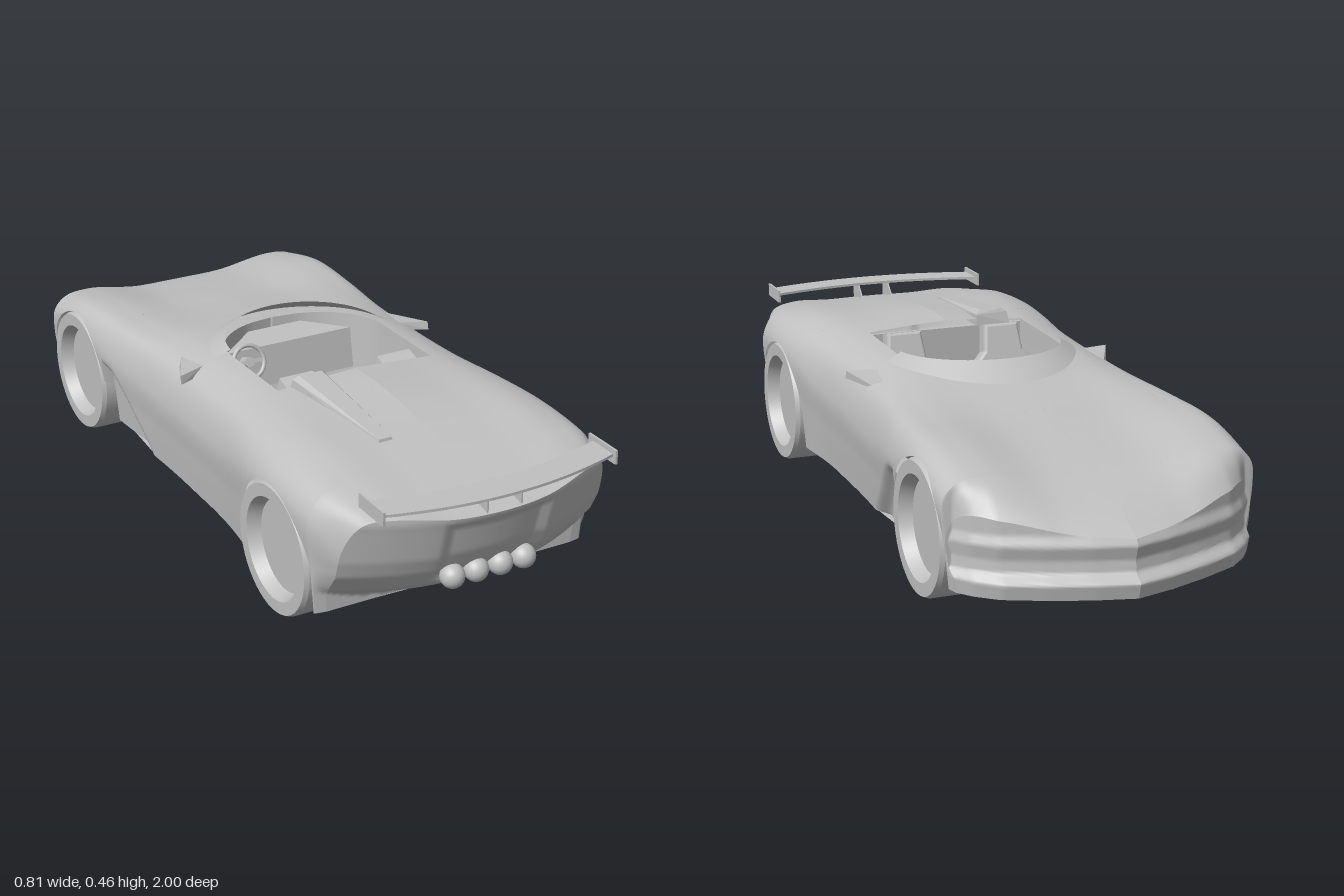
import * as THREE from 'three';
import { RoundedBoxGeometry } from 'three/addons/geometries/RoundedBoxGeometry.js';
import { ConvexGeometry } from 'three/addons/geometries/ConvexGeometry.js';

const SILL = 0.076, ARCH = 0.173, WHEEL_Y = 0.17, AXLES = [-0.6, 0.58], EPS = 2e-5;
const FRONT = -0.774, REAR = 0.754;   // where the bumpers begin
const COCKPIT_END = 0.28;

// z, half width, heights of: centre, inner deck, fender, shoulder, belt
const STATIONS = [
  [-1.00, 0.395, 0.215, 0.228, 0.258, 0.262, 0.21],
  [-0.89, 0.400, 0.268, 0.278, 0.308, 0.300, 0.25],
  [-0.774, 0.402, 0.315, 0.318, 0.340, 0.330, 0.29],
  [-0.60, 0.405, 0.350, 0.352, 0.374, 0.367, 0.325],
  [-0.40, 0.400, 0.378, 0.376, 0.384, 0.370, 0.30],
  [-0.20, 0.382, 0.408, 0.406, 0.398, 0.370, 0.28],
  [0.00, 0.375, 0.432, 0.430, 0.412, 0.372, 0.28],
  [0.25, 0.378, 0.442, 0.434, 0.418, 0.380, 0.29],
  [0.40, 0.393, 0.445, 0.433, 0.422, 0.388, 0.32],
  [0.58, 0.405, 0.428, 0.424, 0.422, 0.392, 0.34],
  [0.76, 0.398, 0.402, 0.402, 0.404, 0.385, 0.33],
  [0.98, 0.365, 0.362, 0.364, 0.376, 0.362, 0.28],
];
const spline = new THREE.CubicInterpolant(STATIONS.map(s => s[0]), STATIONS.flatMap(s => s.slice(1)), 6);
const profile = (at, values) => {
  const f = new THREE.LinearInterpolant(at, values, 1);
  return t => f.evaluate(t)[0];
};
const smooth = THREE.MathUtils.smoothstep;
const noseProfile = profile([0.076, 0.115, 0.135, 0.165, 0.2, 0.225], [-0.99, -1, -0.973, -0.97, -0.98, -0.967]);
const noseSweep = profile([0, 0.1, 0.2, 0.3, 0.35, 0.4], [0, 0.026, 0.062, 0.107, 0.15, 0.215]);
const tailProfile = profile([0.08, 0.1, 0.14, 0.2, 0.25, 0.34, 0.36], [0.765, 0.815, 0.875, 0.925, 0.948, 0.972, 0.978]);
const noseZ = (x, y) => Math.min(-0.78, noseProfile(y) + noseSweep(x));
// the tail has a shallow recessed centre panel
const tailZ = (x, y) => Math.max(0.76, tailProfile(y) - 0.105 * (x / 0.36) ** 2
  - 0.012 * (1 - smooth(x, 0.125, 0.145)) * smooth(y, 0.15, 0.17) * (1 - smooth(y, 0.33, 0.35)));

// bends the end sections into the swept nose and raked tail
function bend(x, y, z) {
  if (z < FRONT) return FRONT + (z - FRONT) / (-1 - FRONT) * (noseZ(x, y) - FRONT);
  if (z > REAR) return REAR + (z - REAR) / (0.98 - REAR) * (tailZ(x, y) - REAR);
  return z;
}
function sillHeight(z) {
  for (const c of AXLES) {
    const d = Math.abs(z - c);
    if (d < ARCH) return WHEEL_Y + Math.sqrt(ARCH * ARCH - d * d);
  }
  return SILL;
}
// half width of the cockpit opening
function opening(z) {
  if (z <= -0.18 || z > COCKPIT_END) return 0;
  return z < 0.03 ? 0.225 * Math.sqrt(1 - ((z - 0.03) / 0.21) ** 2) : 0.225;
}
function bisect(lo, hi, before) {
  for (let i = 0; i < 24; i++) {
    const m = (lo + hi) / 2;
    if (before(m)) lo = m; else hi = m;
  }
  return (lo + hi) / 2;
}

// half cross-section from the centre line, or cockpit rim, down to the sill
function section(z, n = 56) {
  const [w, yc, yi, yf, ys, ym] = spline.evaluate(z);
  const pts = [[0, yc], [0.36 * w, yi], [0.72 * w, yf], [0.91 * w, ys], [w, ym], [0.985 * w, (ym + SILL) / 2], [0.96 * w, SILL]];
  const curve = new THREE.CatmullRomCurve3(pts.map(p => new THREE.Vector3(p[0], p[1], 0)));
  const x0 = opening(z), y1 = sillHeight(z);
  const u0 = x0 ? bisect(0, 0.66, u => curve.getPoint(u).x < x0) : 0;
  const u1 = y1 > SILL ? bisect(0.4, 1, u => curve.getPoint(u).y > y1) : 1;
  return Array.from({ length: n + 1 }, (_, j) => {
    const p = curve.getPoint(u0 + (u1 - u0) * j / n);
    // scoop behind the front wheel
    if (z > -0.43 && z < -0.15 && p.x > 0.3)
      p.x -= 0.028 * smooth(-0.1 - p.y - z, 0, 0.06) * smooth(0.27 - p.y, 0, 0.04);
    return [p.x, p.y, bend(p.x, p.y, z)];
  });
}
function grid(rows, side, flip = false) {
  const n = rows[0].length, index = [];
  for (let i = 0; i < rows.length - 1; i++) for (let j = 0; j < n - 1; j++) {
    const a = i * n + j, b = a + 1, c = a + n, d = c + 1;
    if ((side > 0) !== flip) index.push(a, c, b, b, c, d);
    else index.push(a, b, c, b, d, c);
  }
  const g = new THREE.BufferGeometry();
  g.setAttribute('position', new THREE.Float32BufferAttribute(rows.flat().flatMap(p => [p[0] * side, p[1], p[2]]), 3));
  g.setIndex(index);
  g.computeVertexNormals();
  return g;
}
// closes an end section with strips running down to the lower lip
function endCap(ring, zAt) {
  const last = ring[ring.length - 1];
  return Array.from({ length: 33 }, (_, k) => ring.map(([x, y]) => {
    const t = k / 32, px = x + (Math.min(x, last[0]) - x) * t, py = y + (last[1] - y) * t;
    return [px, py, zAt(px, py)];
  }));
}
// station positions of one body segment
function spacing(from, to) {
  const steps = Math.ceil((to - from) / (from > -0.44 && to < 0.3 ? 0.008 : 0.022));
  const mid = (from + to) / 2, half = (to - from) / 2, arch = AXLES.some(c => Math.abs(mid - c) < 0.01);
  return Array.from({ length: steps * (arch ? 2 : 1) + 1 }, (_, i) => {
    const t = i / (steps * (arch ? 2 : 1));
    return arch ? mid - half * Math.cos(Math.PI * t) : from + (to - from) * t;
  });
}

export function createModel() {
  const car = new THREE.Group();
  car.name = 'roadster';
  const grey = new THREE.MeshStandardMaterial({ color: 0xc0c0c0, side: THREE.DoubleSide });
  grey.name = 'plain grey';
  const add = (name, geometry, x = 0, y = 0, z = 0, parent = car) => {
    const m = new THREE.Mesh(geometry, grey);
    m.name = name;
    m.position.set(x, y, z);
    parent.add(m);
    return m;
  };
  const hull = points => new ConvexGeometry(points.map(p => new THREE.Vector3(...p)));

  // body shell in segments that break at the wheel arches and cockpit
  const cuts = [-1, AXLES[0] - ARCH, AXLES[0] + ARCH, -0.18, COCKPIT_END, AXLES[1] - ARCH, AXLES[1] + ARCH, 0.98];
  const names = ['nose', 'frontFender', 'hoodRear', 'cockpitSide', 'rearDeck', 'rearFender', 'tail'];
  const segments = names.map((_, i) => spacing(cuts[i] + (i ? EPS : 0), cuts[i + 1] - (i < 6 ? EPS : 0)).map(z => section(z)));
  const tub = segments[3].map(row => {
    const [x, y, z] = row[0];
    return [[0, 0.14, z], [x * 0.94, 0.14, z], [x * 0.97, 0.2, z], [x, y, z]];
  });
  for (const side of [1, -1]) {
    segments.forEach((rows, i) => add(names[i], grid(rows, side)));
    add('noseFace', grid(endCap(segments[0][0], noseZ), side, true));
    add('tailFace', grid(endCap(segments[6][segments[6].length - 1], tailZ), side));
    add('cockpitTub', grid(tub, side));
  }
  add('cockpitBulkhead', new THREE.BoxGeometry(0.45, 0.28, 0.01), 0, 0.28, 0.285);

  // flat floor, notched for the wheels
  const half = [[0, -0.99], [0.1, -0.964], [0.2, -0.928], [0.3, -0.883], [0.35, -0.84], [0.385, -0.78], [0.25, -0.773], [0.25, -0.427],
    [0.345, -0.427], [0.36, -0.2], [0.36, 0.2], [0.372, 0.407], [0.25, 0.407], [0.25, 0.753], [0.35, 0.757], [0, 0.765]];
  const outline = [...half, ...half.slice(1, -1).reverse().map(([x, z]) => [-x, z])];
  add('floor', new THREE.ShapeGeometry(new THREE.Shape(outline.map(p => new THREE.Vector2(...p)))).rotateX(Math.PI / 2), 0, SILL, 0);

  // wheels: tyre with a recessed flat disc
  const tyre = [[0, 0.25], [0.17, 0.25], [0.17, 0.25], [0.17, 0.392], [0.17, 0.392], [0.165, 0.404], [0.165, 0.404],
    [0.132, 0.404], [0.132, 0.404], [0.118, 0.37], [0.118, 0.37], [0, 0.37]].map(p => new THREE.Vector2(...p));
  for (const z of AXLES) for (const side of [1, -1])
    add('wheel', new THREE.LatheGeometry(tyre, 48).rotateZ(-side * Math.PI / 2), 0, WHEEL_Y, z);

  // wraparound wind deflector
  const screen = [0, 1].map(k => Array.from({ length: 33 }, (_, i) => {
    const a = (i / 16 - 1) * 1.5, s = Math.sin(a), c = Math.cos(a);
    return k ? [0.225 * s, 0.438 + 0.008 * c, 0.03 - 0.21 * c] : [0.262 * s, 0.42 - 0.02 * c, 0.03 - 0.285 * c];
  }));
  add('windDeflector', grid(screen, 1));

  // seats with a tapered one-piece back
  const back = new THREE.Shape([[-0.075, 0], [0.075, 0], [0.082, 0.13], [0.05, 0.165], [0.042, 0.235], [-0.042, 0.235], [-0.05, 0.165], [-0.082, 0.13]]
    .map(p => new THREE.Vector2(...p)));
  const backGeometry = new THREE.ExtrudeGeometry(back, { depth: 0.03, bevelSize: 0.008, bevelThickness: 0.012, bevelSegments: 3 });
  for (const side of [1, -1]) {
    const seat = new THREE.Group();
    seat.name = 'seat';
    seat.position.x = 0.143 * side;
    car.add(seat);
    add('cushion', new RoundedBoxGeometry(0.172, 0.1, 0.19, 3, 0.03), 0, 0.205, 0.085, seat);
    add('backrest', backGeometry, 0, 0.2, 0.16, seat).rotation.x = 0.3;
    for (const s of [1, -1])
      add('bolster', new RoundedBoxGeometry(0.028, 0.13, 0.07, 2, 0.012), 0.072 * s, 0.275, 0.17, seat).rotation.x = 0.3;
  }

  // dashboard, console and steering wheel
  add('dashboard', hull([[0.08, 0.39, -0.165], [0.19, 0.38, -0.08], [0.19, 0.27, -0.06], [0.08, 0.25, -0.16]]
    .flatMap(([x, y, z]) => [[x, y, z], [-x, y, z]])));
  add('console', new RoundedBoxGeometry(0.07, 0.14, 0.33, 2, 0.015), 0, 0.21, 0.04);
  add('gearLever', new THREE.CylinderGeometry(0.01, 0.006, 0.05, 12), 0, 0.3, 0.03);
  const steering = new THREE.Group();
  steering.name = 'steeringWheel';
  steering.position.set(-0.14, 0.36, -0.045);
  steering.rotation.x = -0.4;
  car.add(steering);
  add('rim', new THREE.TorusGeometry(0.045, 0.006, 8, 32), 0, 0, 0, steering);
  add('hub', new THREE.CylinderGeometry(0.014, 0.014, 0.05, 16).rotateX(Math.PI / 2), 0, 0, -0.02, steering);
  add('spoke', new THREE.BoxGeometry(0.085, 0.01, 0.006), 0, 0, 0, steering);

  // fairing behind the driver
  add('headFairing', hull([[-0.19, 0.42, 0.275], [-0.185, 0.452, 0.285], [-0.17, 0.462, 0.29], [-0.105, 0.462, 0.29],
    [-0.092, 0.45, 0.28], [-0.09, 0.42, 0.275], [-0.145, 0.405, 0.64], [-0.14, 0.426, 0.635], [-0.105, 0.426, 0.635], [-0.1, 0.405, 0.64]]));

  // door mirrors
  for (const side of [1, -1])
    add('mirror', hull([[0.3, 0.39, -0.125], [0.31, 0.365, -0.125], [0.375, 0.376, 0.03], [0.375, 0.398, 0.025], [0.292, 0.38, 0], [0.295, 0.402, 0]]
      .map(([x, y, z]) => [x * side, y, z])));

  // bowed rear wing with end plates and stays
  const wing = new THREE.BoxGeometry(0.635, 0.007, 0.08, 32, 1, 1);
  const wp = wing.attributes.position;
  for (let i = 0; i < wp.count; i++) wp.setZ(i, wp.getZ(i) - 0.05 * (wp.getX(i) / 0.318) ** 2);
  wing.computeVertexNormals();
  add('wing', wing, 0, 0.414, 0.96);
  for (const side of [1, -1]) {
    add('wingEndPlate', new THREE.BoxGeometry(0.006, 0.036, 0.11), 0.319 * side, 0.412, 0.907);
    const stay = new THREE.Shape([[0.87, 0.36], [0.97, 0.355], [0.97, 0.412], [0.925, 0.412]].map(p => new THREE.Vector2(-p[0], p[1])));
    add('wingStay', new THREE.ExtrudeGeometry(stay, { depth: 0.004, bevelEnabled: false }).rotateY(Math.PI / 2), 0.047 * side - 0.002);
  }

  // four exhaust tips
  for (const x of [-0.1, -0.034, 0.034, 0.1])
    add('exhaust', new THREE.SphereGeometry(0.031, 24, 16), x, 0.182, 0.912);
  return car;
}
